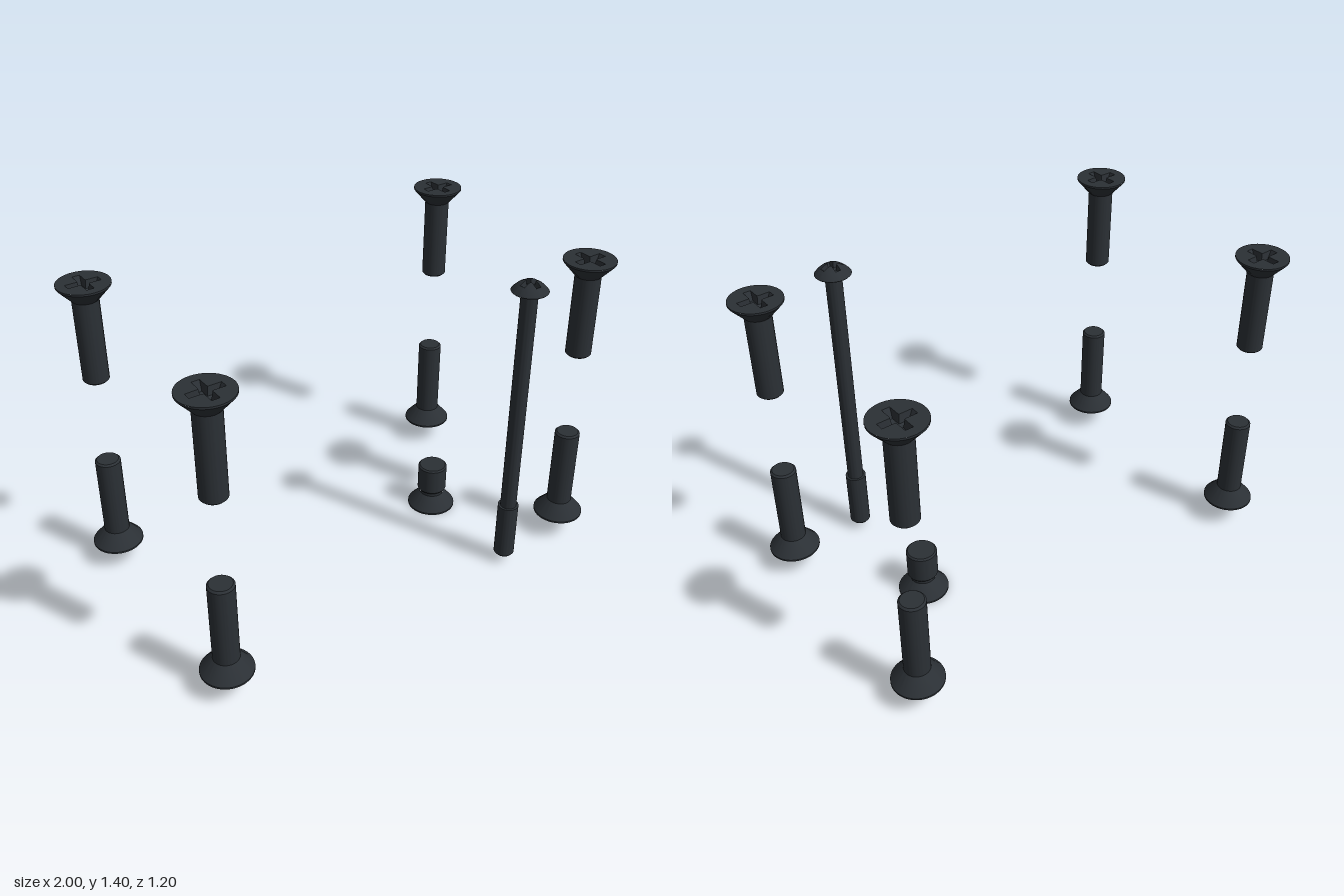
import * as THREE from 'three';
import { toCreasedNormals } from 'three/addons/utils/BufferGeometryUtils.js';

const steel = new THREE.MeshStandardMaterial({ color: 0x2b3035 });

function part(name, geometry) {
  const mesh = new THREE.Mesh(toCreasedNormals(geometry, 0.5), steel);
  mesh.name = name;
  return mesh;
}

// Turned body: profile of [radius, y] from bottom to top
const turned = (profile) =>
  new THREE.LatheGeometry(profile.map(([r, y]) => new THREE.Vector2(r, y)), 56);

// Angles round the cross that hit each of its corners exactly
function crossAngles(arm, half) {
  const a = Math.atan2(half, arm), q = Math.PI / 4;
  const octant = [0, a / 2, a, a + (q - a) * 0.25, a + (q - a) * 0.5, a + (q - a) * 0.75, q];
  const quarter = [...octant, ...octant.slice(1, -1).reverse().map((t) => Math.PI / 2 - t)];
  return [0, 1, 2, 3].flatMap((k) => quarter.map((t) => t + (k * Math.PI) / 2));
}

// Distance from the centre to the edge of a cross, with softened inner corners
function crossRadius(angle, arm, half) {
  const c = Math.abs(Math.cos(angle)), s = Math.abs(Math.sin(angle));
  const long = Math.max(c, s), short = Math.min(c, s);
  return Math.max(Math.min(arm / long, half / Math.max(short, 1e-6)), half * 1.55);
}

// Head top running from the rim inwards, then down into a tapered cross recess
function recessedTop(rim, arm, half, depth, height) {
  const angles = crossAngles(arm, half), n = angles.length;
  const edge = angles.map((t) => crossRadius(t, arm, half));
  const rings = [];
  const addRing = (f) => rings.push(angles.map((t, j) => {
    const [r, y] = f(edge[j]);
    return [r * Math.cos(t), y, -r * Math.sin(t)];
  }));
  for (let k = 0; k <= 6; k++) {
    addRing((e) => {
      const r = THREE.MathUtils.lerp(rim, e, k / 6);
      return [r, height(r)];
    });
  }
  const floor = height(0) - depth;
  addRing((e) => [e * 0.72, floor]);
  addRing(() => [0, floor - depth * 0.2]);

  const index = [];
  for (let k = 0; k < rings.length - 1; k++) {
    for (let j = 0; j < n; j++) {
      const a = k * n + j, b = k * n + ((j + 1) % n);
      index.push(a, b, a + n);
      if (k < rings.length - 2) index.push(b, b + n, a + n);
    }
  }
  const geometry = new THREE.BufferGeometry();
  geometry.setAttribute('position', new THREE.Float32BufferAttribute(rings.flat(2), 3));
  geometry.setIndex(index);
  return geometry;
}

// Screws are built with the top of the head at y = 0 and the shank hanging down
function screw(name, shank, head, top) {
  const group = new THREE.Group();
  group.name = name;
  group.add(part('shank', turned(shank)), part('head', turned(head)), part('crossRecess', top));
  return group;
}

const flatTop = () => recessedTop(0.11, 0.07, 0.016, 0.035, () => 0);
const countersunk = [[0.055, -0.07], [0.06, -0.065], [0.107, -0.012], [0.11, -0.008], [0.11, 0]];

const countersunkScrew = (name) => screw(name,
  [[0, -0.44], [0.047, -0.44], [0.055, -0.432], [0.055, -0.065]], countersunk, flatTop());

// Stubby screw with a narrow neck and a wide body
const shortScrew = () => screw('shortScrew',
  [[0, -0.223], [0.06, -0.223], [0.067, -0.216], [0.067, -0.097], [0.062, -0.09],
    [0.052, -0.09], [0.052, -0.06]], countersunk, flatTop());

// Long thin screw with a domed head and a thicker threaded end
function longScrew() {
  const dome = (r) => -0.046 * (r / 0.076) ** 2;
  return screw('longScrew',
    [[0, -1.36], [0.037, -1.36], [0.045, -1.35], [0.045, -1.092], [0.035, -1.092], [0.035, -0.05]],
    [[0, -0.05], [0.072, -0.05], [0.076, -0.046]],
    recessedTop(0.076, 0.046, 0.012, 0.03, dome));
}

export function createModel() {
  const model = new THREE.Group();
  model.name = 'screwSet';

  // Corner screws: upper ones point down, lower ones point up
  for (const x of [-0.89, 0.89]) {
    for (const z of [-0.49, 0.49]) {
      const upper = countersunkScrew('upperCornerScrew');
      upper.position.set(x, 1.38, z);
      const lower = countersunkScrew('lowerCornerScrew');
      lower.rotation.x = Math.PI;
      lower.position.set(x, 0.103, z);
      model.add(upper, lower);
    }
  }

  const long = longScrew();
  long.position.set(0.53, 1.4, 0.523);
  const short = shortScrew();
  short.rotation.x = Math.PI;
  short.position.set(0.53, 0, 0);
  model.add(long, short);
  return model;
}
